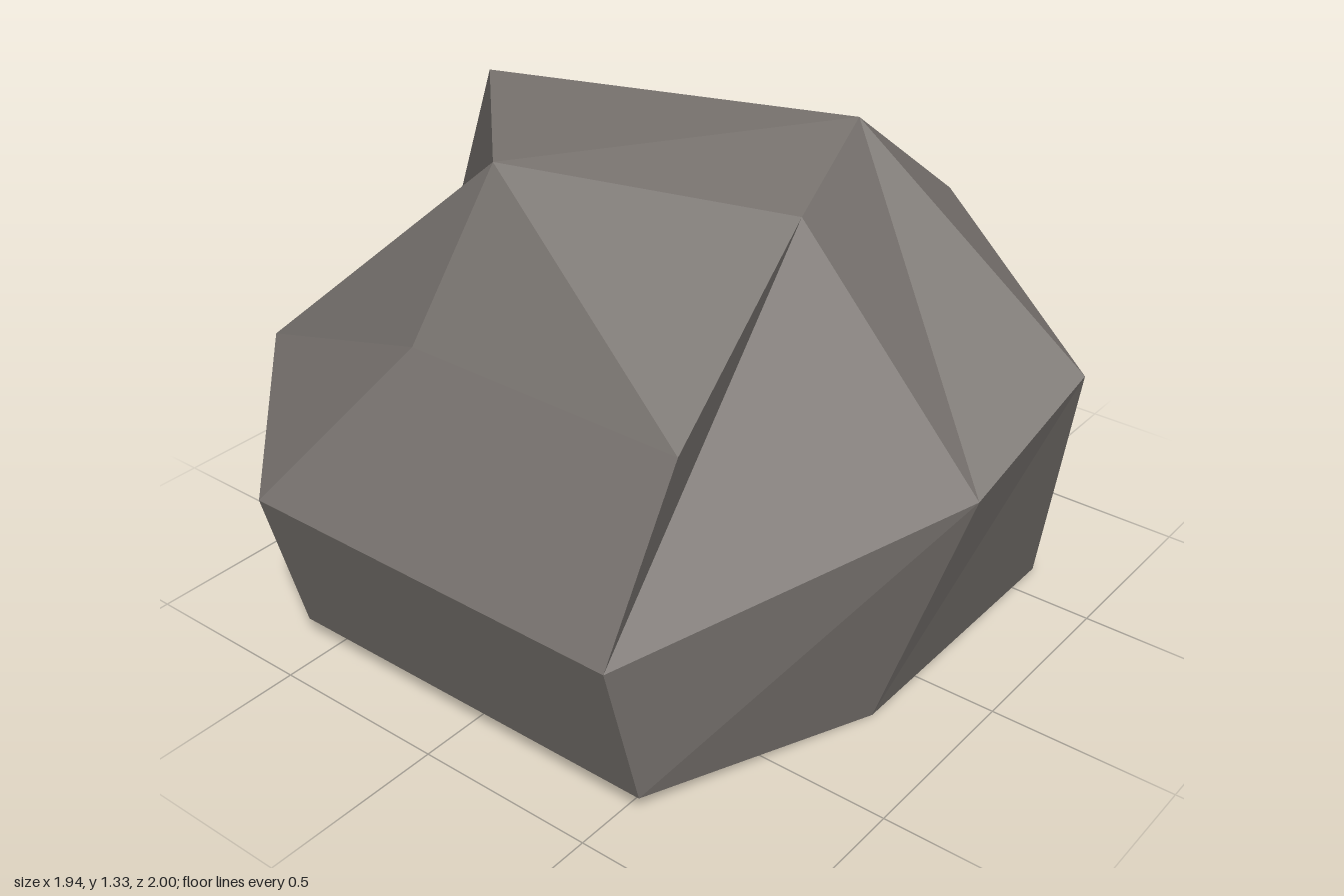
import * as THREE from 'three';

// Cross-sections of the boulder: eight corners each, from the front round to the back
const base = [
  [-0.855, 0.06, 0.55], [-0.2, 0, 0.77], [0.615, 0, 0.77], [0.88, 0.06, 0.55],
  [0.97, 0.03, -0.34], [0.285, 0, -0.8], [-0.55, 0, -0.8], [-0.855, 0.06, -0.58],
];
const middle = [
  [-0.97, 0.49, 0.55], [-0.11, 0.67, 0.97], [0.315, 0.83, 1.0], [0.945, 0.49, 0.55],
  [0.845, 0.48, -0.43], [0.15, 0.665, -1.0], [-0.55, 0.66, -0.97], [-0.97, 0.49, -0.58],
];
const upper = [
  [-0.72, 0.93, 0.56], [-0.14, 1.265, 0.465], [0.325, 1.33, 0.31], [0.61, 1.07, 0.42],
  [0.68, 0.91, -0.29], [0, 1.33, -0.65], [-0.455, 1.33, -0.21], [-0.72, 0.93, -0.25],
];

export function createModel() {
  const stone = new THREE.MeshStandardMaterial({ color: 0x78736f, flatShading: true });
  stone.name = 'stone grey';

  const positions = [];
  const tri = (a, b, c) => positions.push(...a, ...b, ...c);
  const quad = (a, b, c, d) => { tri(a, b, c); tri(a, c, d); };

  // Side facets between neighbouring rings
  for (const [low, high] of [[base, middle], [middle, upper]]) {
    for (let i = 0; i < 8; i++) {
      const j = (i + 1) % 8;
      quad(low[i], low[j], high[j], high[i]);
    }
  }

  // Crown: left slope, top plane, right slope
  for (const corners of [[0, 1, 6, 7], [2, 5, 6, 1], [2, 3, 4, 5]]) {
    quad(...corners.map((i) => upper[i]));
  }

  // Underside
  for (let i = 0; i < 8; i++) tri([0, 0, 0], base[(i + 1) % 8], base[i]);

  const geometry = new THREE.BufferGeometry();
  geometry.setAttribute('position', new THREE.Float32BufferAttribute(positions, 3));
  geometry.computeVertexNormals();

  const boulder = new THREE.Mesh(geometry, stone);
  boulder.name = 'boulder';
  const group = new THREE.Group();
  group.name = 'rock';
  group.add(boulder);
  return group;
}
